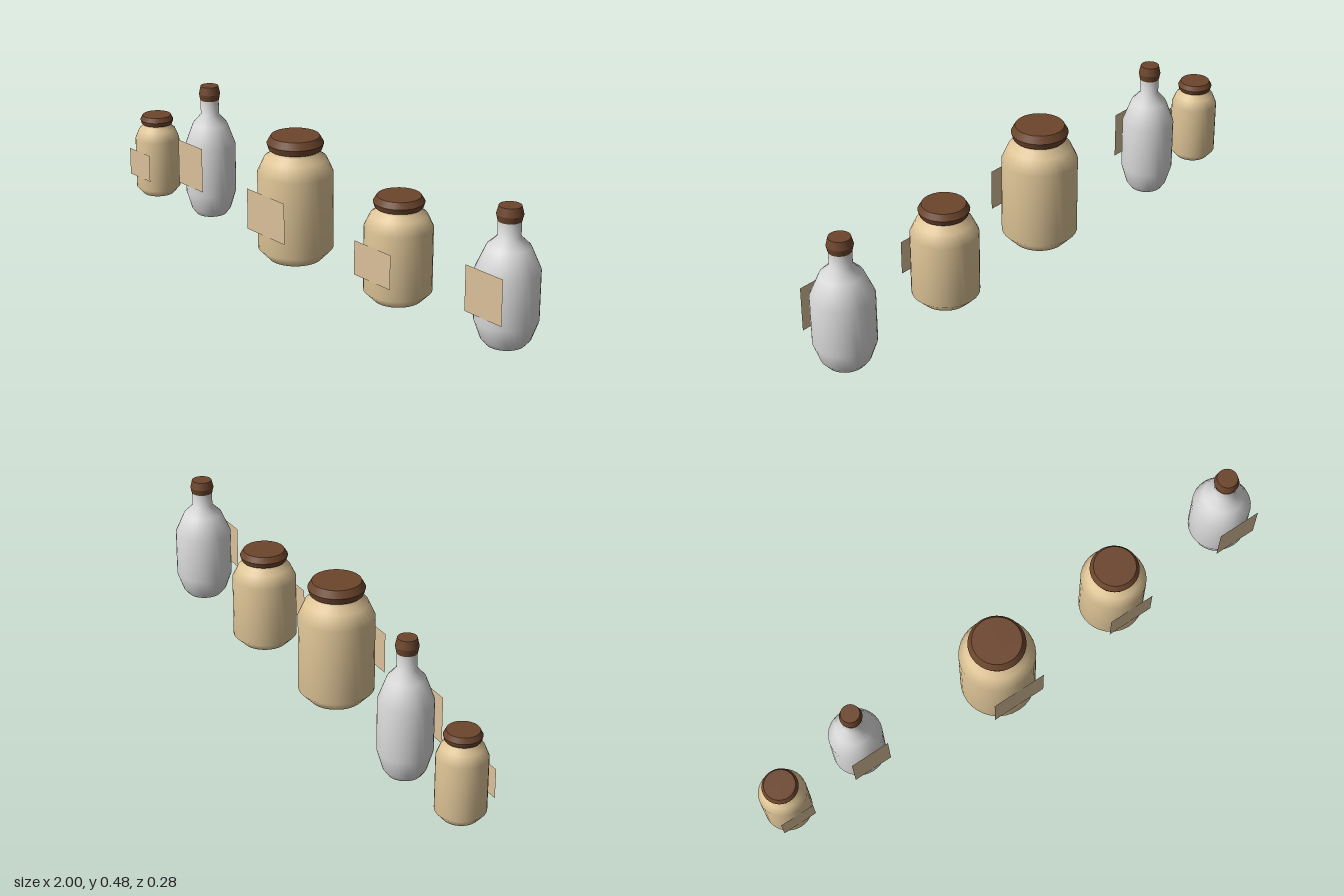
import * as THREE from 'three';

const SIDES = 32;
const mat = (name, color, side = THREE.FrontSide) => {
  const m = new THREE.MeshStandardMaterial({ color, side });
  m.name = name;
  return m;
};

export function createModel() {
  const clay = mat('tan clay', 0xe0c698);
  const glass = mat('pale grey glass', 0xdcdcdc);
  const wood = mat('brown stopper', 0x6c452c);
  const paper = mat('label paper', 0xdbc19b, THREE.DoubleSide);

  const add = (group, name, geometry, material, y = 0, z = 0) => {
    const mesh = new THREE.Mesh(geometry, material);
    mesh.name = name;
    mesh.position.set(0, y, z);
    group.add(mesh);
    return mesh;
  };

  // One vessel: turned body, flat base, two-tier stopper and a front label
  const vessel = (name, s, material, x, z, width, height) => {
    const g = new THREE.Group();
    g.name = name;
    const points = s.profile.map(([r, y]) => new THREE.Vector2(r, y));
    add(g, 'body', new THREE.LatheGeometry(points, SIDES), material);
    add(g, 'base', new THREE.CircleGeometry(points[0].x, SIDES), material).rotation.x = Math.PI / 2;

    const [[r0, y0], [r1, y1], [r2, y2]] = s.cap;
    const lower = new THREE.CylinderGeometry(r1, r0, y1 - y0, SIDES);
    const upper = new THREE.CylinderGeometry(r2, r1, y2 - y1, SIDES);
    add(g, 'stopperLower', lower, wood, (y0 + y1) / 2);
    add(g, 'stopperUpper', upper, wood, (y1 + y2) / 2);

    const [w, bottom, top] = s.label;
    add(g, 'label', new THREE.PlaneGeometry(w, top - bottom), paper, (bottom + top) / 2, s.radius + 0.001);

    g.position.set(x, 0, z);
    g.scale.set(width, height, width);
    return g;
  };

  const jar = {
    radius: 0.131,
    profile: [[0.092, 0], [0.131, 0.041], [0.131, 0.313], [0.108, 0.364], [0.081, 0.382], [0.081, 0.4]],
    cap: [[0.091, 0.396], [0.098, 0.418], [0.084, 0.443]],
    label: [0.2, 0.107, 0.254],
  };
  const bottle = {
    radius: 0.103,
    profile: [[0.063, 0], [0.081, 0.021], [0.103, 0.083], [0.103, 0.25], [0.07, 0.325],
      [0.037, 0.357], [0.037, 0.412]],
    cap: [[0.038, 0.408], [0.043, 0.43], [0.036, 0.457]],
    label: [0.16, 0.11, 0.265],
  };

  // Row of vessels from right to left
  const model = new THREE.Group();
  model.name = 'jarsAndBottles';
  model.add(
    vessel('smallJar', jar, clay, -0.919, -0.02, 0.625, 0.69),
    vessel('slimBottle', bottle, glass, -0.615, -0.04, 0.886, 1.06),
    vessel('largeJar', jar, clay, -0.075, 0.006, 1, 1),
    vessel('mediumJar', jar, clay, 0.422, -0.017, 0.87, 0.815),
    vessel('wideBottle', bottle, glass, 0.897, -0.036, 1, 1),
  );
  return model;
}
